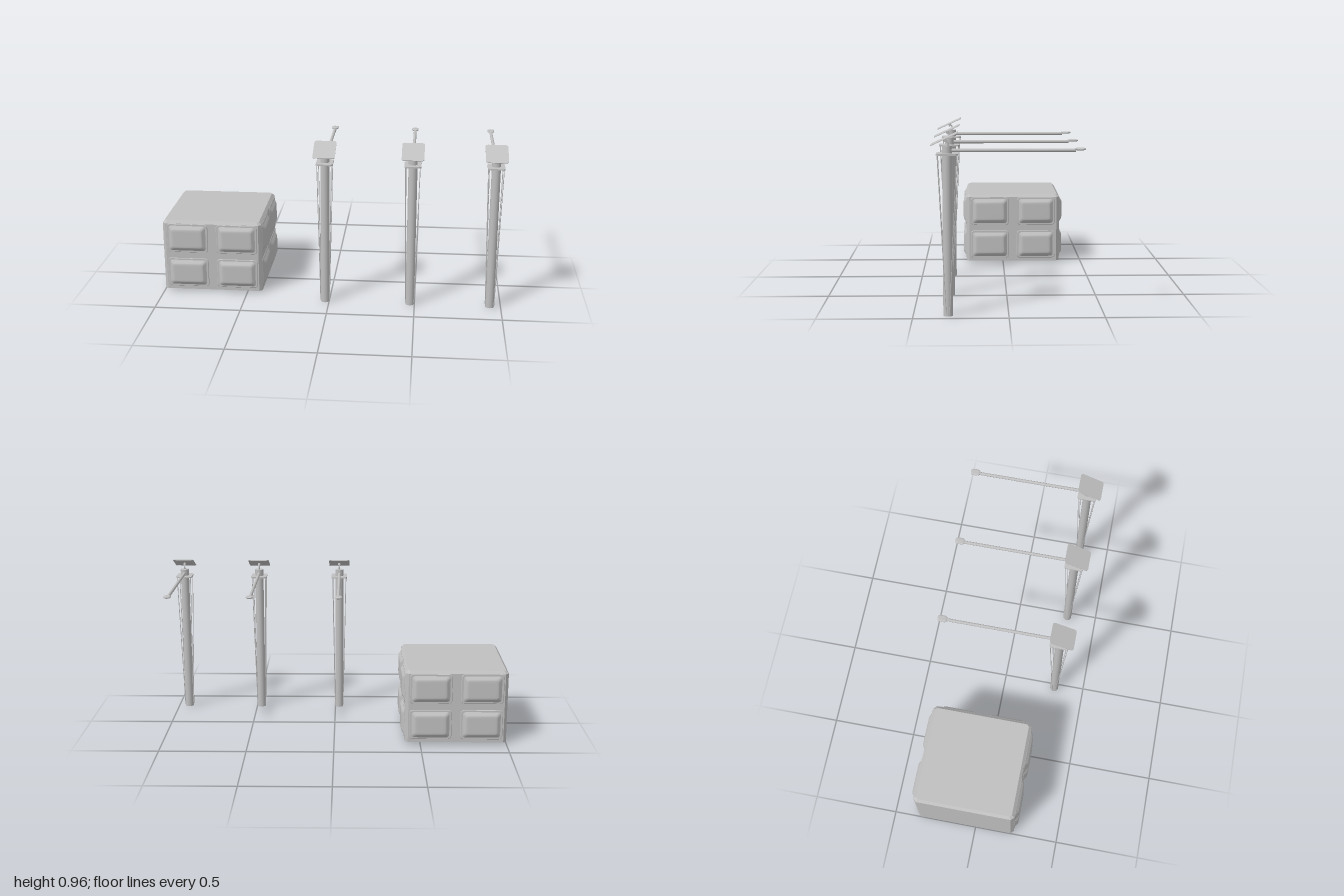
import * as THREE from 'three';

const grey = new THREE.MeshStandardMaterial({ color: 0xc0c0c0, side: THREE.DoubleSide });
grey.name = 'plain grey';

function add(parent, name, geometry) {
  const mesh = new THREE.Mesh(geometry, grey);
  mesh.name = name;
  parent.add(mesh);
  return mesh;
}

// Skin between stacked rings of points, closed at the last ring
function loft(rings, smooth) {
  const n = rings[0].length, pos = [], idx = [];
  rings.forEach(r => r.forEach(p => pos.push(p.x, p.y, p.z)));
  for (let k = 0; k < rings.length - 1; k++)
    for (let i = 0; i < n; i++) {
      const j = (i + 1) % n, a = k * n, b = a + n;
      idx.push(a + i, a + j, b + j, a + i, b + j, b + i);
    }
  const last = (rings.length - 1) * n;
  for (let i = 1; i < n - 1; i++) idx.push(last, last + i, last + i + 1);
  let g = new THREE.BufferGeometry();
  g.setAttribute('position', new THREE.Float32BufferAttribute(pos, 3));
  g.setIndex(idx);
  if (!smooth) g = g.toNonIndexed();
  g.computeVertexNormals();
  return g;
}

// Rectangle ring with rounded (or, with one step, cut) corners
function ring(w, h, r, z, steps) {
  const pts = [];
  for (let q = 0; q < 4; q++) {
    const sx = q === 0 || q === 3 ? 1 : -1, sy = q < 2 ? 1 : -1;
    for (let s = 0; s <= steps; s++) {
      const a = (q + s / steps) * Math.PI / 2;
      pts.push(new THREE.Vector3(sx * (w / 2 - r) + r * Math.cos(a), sy * (h / 2 - r) + r * Math.sin(a), z));
    }
  }
  return pts;
}

// Hollow cabinet, open underneath, with pressed panels on three sides
function makeCabinet() {
  const cabinet = new THREE.Group();
  cabinet.name = 'cabinet';
  cabinet.position.set(-0.705, 0, -0.0625);
  const W = 0.59, D = 0.595;
  const shell = loft([
    ring(W, D, 0.018, 0.01, 1),
    ring(W, D, 0.018, 0.424, 1),
    ring(W - 0.03, D - 0.03, 0.012, 0.44, 1),
  ], false);
  add(cabinet, 'cabinetShell', shell.rotateX(-Math.PI / 2));

  const rim = loft([
    ring(0.245, 0.178, 0.02, 0, 4),
    ring(0.24, 0.173, 0.018, 0.003, 4),
  ], false);
  const bump = loft([
    ring(0.222, 0.158, 0.016, 0.002, 4),
    ring(0.204, 0.14, 0.015, 0.008, 4),
    ring(0.184, 0.12, 0.014, 0.0165, 4),
    ring(0.172, 0.108, 0.012, 0.0185, 4),
    ring(0.15, 0.09, 0.01, 0.019, 4),
  ], true);
  const sides = [['front', 0, D / 2], ['left', Math.PI / 2, W / 2], ['back', Math.PI, D / 2]];
  for (const [name, angle, out] of sides) {
    const side = new THREE.Group();
    side.name = name + 'Panels';
    side.rotation.y = angle;
    for (const x of [-0.1475, 0.1475])
      for (const y of [0.118, 0.334]) {
        add(side, 'panelRim', rim).position.set(x, y, out);
        add(side, 'panelBump', bump).position.set(x, y, out);
      }
    cabinet.add(side);
  }
  return cabinet;
}

// Straight rod between two points
function rod(a, b, radius, sides) {
  return new THREE.TubeGeometry(new THREE.LineCurve3(a, b), 1, radius, sides);
}

// Lamp post with solar plate, braces and a long rear arm
function makePost(x) {
  const post = new THREE.Group();
  post.name = 'lampPost';
  post.position.set(x, 0, 0.317);
  const v = (a, b, c) => new THREE.Vector3(a, b, c);

  add(post, 'pole', new THREE.CylinderGeometry(0.0255, 0.0255, 0.89, 16)).position.y = 0.445;

  // Collar plate and the four braces hanging from its corners
  const collar = loft([ring(0.096, 0.112, 0.014, 0.844, 3), ring(0.096, 0.112, 0.014, 0.852, 3)], false);
  collar.rotateX(-Math.PI / 2);
  add(post, 'collar', collar);
  add(post, 'collarUnderside', new THREE.BoxGeometry(0.084, 0.003, 0.1)).position.y = 0.8445;
  for (const sx of [-1, 1])
    for (const sz of [-1, 1])
      add(post, 'brace', rod(v(sx * 0.041, 0.846, sz * 0.05), v(sx * 0.025, 0.01, sz * 0.009), 0.0022, 6));

  // Solar plate on a bent stem
  const stemPath = new THREE.CatmullRomCurve3([v(0, 0.885, -0.003), v(0, 0.908, -0.003), v(0, 0.917, 0.004), v(0, 0.925, 0.014)]);
  add(post, 'stem', new THREE.TubeGeometry(stemPath, 10, 0.004, 8));
  const hinge = add(post, 'hinge', new THREE.CylinderGeometry(0.008, 0.008, 0.016, 12));
  hinge.position.set(0, 0.919, 0.01);
  hinge.rotation.x = 0.43;
  const plate = loft([ring(0.126, 0.152, 0.014, -0.0015, 4), ring(0.126, 0.152, 0.014, 0.0015, 4)], false);
  const solar = add(post, 'solarPlate', plate);
  add(solar, 'solarPlateBack', new THREE.BoxGeometry(0.098, 0.124, 0.003));
  solar.position.set(0, 0.927, 0.014);
  solar.rotation.x = -Math.PI / 2 + 0.43;

  // Arm and lamp head
  const arm = add(post, 'arm', new THREE.CylinderGeometry(0.009, 0.009, 0.64, 12));
  arm.rotation.x = Math.PI / 2;
  arm.position.set(0, 0.866, -0.34);
  const head = loft([
    ring(0.022, 0.04, 0.008, 0.866, 3),
    ring(0.04, 0.056, 0.014, 0.87, 3),
    ring(0.04, 0.056, 0.014, 0.875, 3),
    ring(0.026, 0.042, 0.01, 0.878, 3),
  ], false);
  add(post, 'lampHead', head.rotateX(-Math.PI / 2)).position.z = -0.683;
  add(post, 'lampLens', new THREE.BoxGeometry(0.02, 0.002, 0.036)).position.set(0, 0.867, -0.683);
  return post;
}

export function createModel() {
  const model = new THREE.Group();
  model.name = 'cabinetAndLampPosts';
  model.add(makeCabinet());
  for (const x of [-0.024, 0.473, 0.936]) model.add(makePost(x));
  return model;
}
